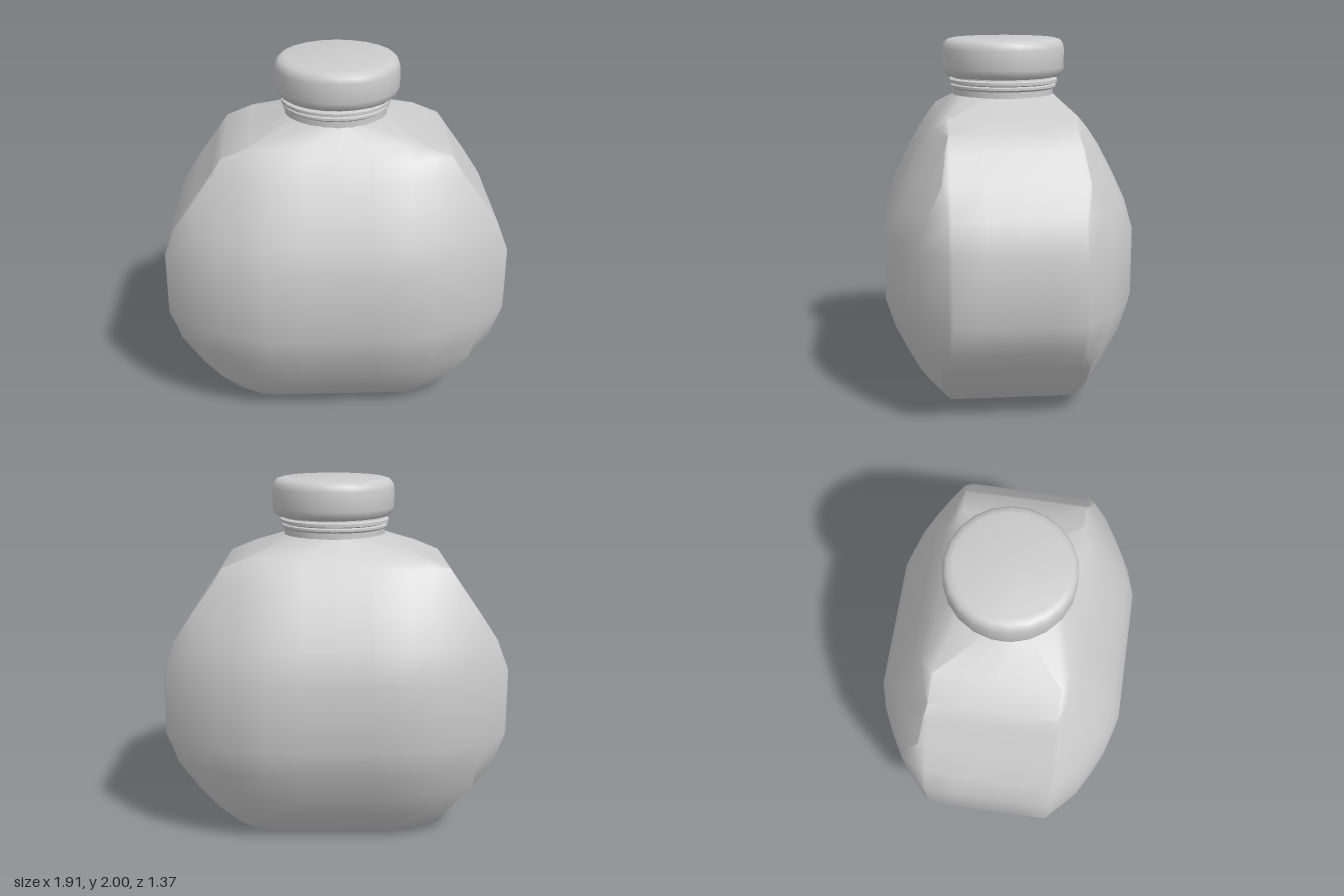
import * as THREE from 'three';
import { toCreasedNormals } from 'three/addons/utils/BufferGeometryUtils.js';

const material = new THREE.MeshStandardMaterial({ color: 0xcccccc, roughness: 0.7 });

// Body levels: height, half width, half depth at the middle, half depth of the side band
const LEVELS = [
  [0, 0.4, 0.31, 0.31], [0.02, 0.45, 0.35, 0.335], [0.07, 0.56, 0.4, 0.34],
  [0.18, 0.66, 0.5, 0.34], [0.3, 0.77, 0.565, 0.34], [0.44, 0.89, 0.635, 0.34],
  [0.6, 0.955, 0.685, 0.34], [0.97, 0.955, 0.685, 0.34], [1.14, 0.89, 0.635, 0.34],
  [1.3, 0.785, 0.56, 0.34], [1.45, 0.68, 0.48, 0.34], [1.54, 0.62, 0.42, 0.34],
  [1.6, 0.47, 0.37, 0.33],
];
const SHOULDER = { y: 1.69, radius: 0.28 };

// Columns across the bulging face: x and how far the face has dropped there
const COLUMNS = [[0.94, 0.325], [0.78, 0.175], [0.655, 0.105], [0.53, 0.045], [0.38, 0], [0.19, 0], [0, 0]];

function dropAt(x) {
  if (x >= COLUMNS[0][0]) return COLUMNS[0][1];
  const i = COLUMNS.findIndex(c => c[0] <= x);
  const [x1, d1] = COLUMNS[i];
  if (i === 0 || x === x1) return d1;
  const [x0, d0] = COLUMNS[i - 1];
  return d1 + (d0 - d1) * (x - x1) / (x0 - x1);
}

// Quarter section from the +x axis round to the +z axis
function quarter([, width, depth, band]) {
  const points = [0, 0.5, 1].map(t => [width, band * t]);
  for (const [column] of COLUMNS) {
    const x = Math.min(column, width);
    points.push([x, Math.max(band, depth - dropAt(x))]);
  }
  return points;
}

// Mirror a quarter section into a closed ring
function fullRing(q, y) {
  const back = q.slice(0, -1).reverse().map(([x, z]) => [-x, z]);
  const half = [...q, ...back];
  const rest = half.slice(1, -1).reverse().map(([x, z]) => [x, -z]);
  return [...half, ...rest].map(([x, z]) => [x, y, z]);
}

function bodyGeometry() {
  const rings = LEVELS.map(level => fullRing(quarter(level), level[0]));
  const count = COLUMNS.length + 3;
  const arc = Array.from({ length: count }, (_, i) => {
    const a = i / (count - 1) * Math.PI / 2;
    return [SHOULDER.radius * Math.cos(a), SHOULDER.radius * Math.sin(a)];
  });
  rings.push(fullRing(arc, SHOULDER.y));

  const n = rings[0].length;
  const positions = rings.flat(2);
  const index = [];
  for (let r = 0; r < rings.length - 1; r++) {
    for (let i = 0; i < n; i++) {
      const a = r * n + i, b = r * n + (i + 1) % n;
      index.push(a, a + n, b, b, a + n, b + n);
    }
  }
  // Flat base
  const centre = positions.length / 3;
  positions.push(0, 0, 0);
  for (let i = 0; i < n; i++) index.push(centre, i, (i + 1) % n);

  const geometry = new THREE.BufferGeometry();
  geometry.setAttribute('position', new THREE.Float32BufferAttribute(positions, 3));
  geometry.setIndex(index);
  return toCreasedNormals(geometry, 0.9);
}

function turned(profile, segments, crease) {
  const points = profile.map(([r, y]) => new THREE.Vector2(r, y));
  return toCreasedNormals(new THREE.LatheGeometry(points, segments), crease);
}

export function createModel() {
  const group = new THREE.Group();
  const add = (name, geometry, x = 0) => {
    const mesh = new THREE.Mesh(geometry, material);
    mesh.name = name;
    mesh.position.x = x;
    group.add(mesh);
  };

  add('body', bodyGeometry());

  // Neck with two raised thread rings
  add('neck', turned([
    [0.285, 1.66], [0.285, 1.72], [0.3, 1.73], [0.3, 1.742], [0.288, 1.748],
    [0.308, 1.755], [0.308, 1.772], [0.288, 1.78], [0.285, 1.82],
  ], 24, 0.6), 0.007);

  // Screw cap with rounded rims
  add('cap', turned([
    [0, 1.79], [0.29, 1.787], [0.318, 1.793], [0.337, 1.81], [0.345, 1.84],
    [0.345, 1.945], [0.338, 1.972], [0.32, 1.992], [0.29, 2], [0, 2],
  ], 22, 0.9), 0.014);

  return group;
}
